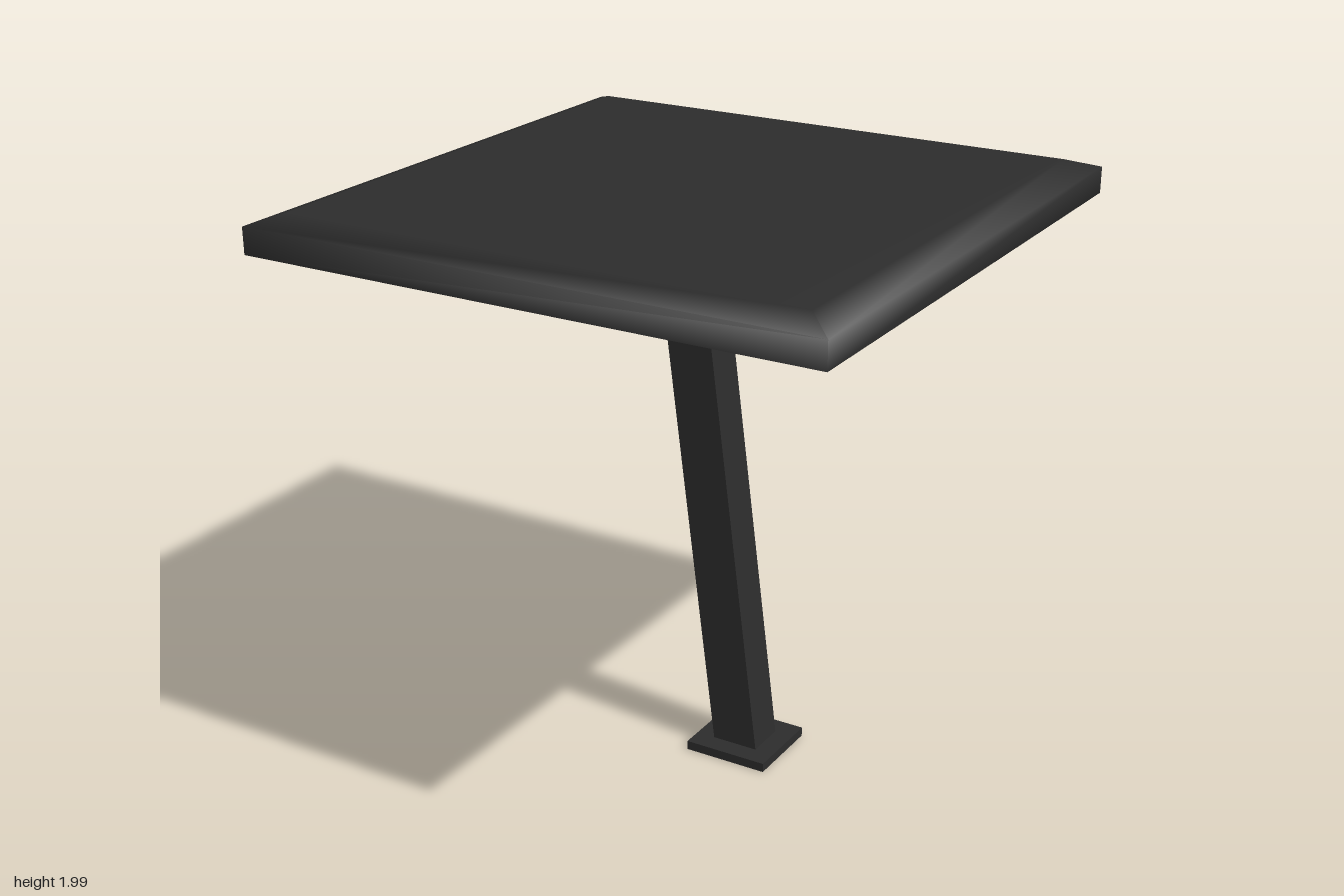
import * as THREE from 'three';

const darkMetal = new THREE.MeshStandardMaterial({ color: 0x2d2d2d });
darkMetal.name = 'darkMetal';

function addMesh(group, geometry, name) {
  const mesh = new THREE.Mesh(geometry, darkMetal);
  mesh.name = name;
  group.add(mesh);
  return mesh;
}

// Extrude an x-y outline along z, centred on z = 0
function extrudeOutline(points, depth) {
  const shape = new THREE.Shape(points.map(([x, y]) => new THREE.Vector2(x, y)));
  return new THREE.ExtrudeGeometry(shape, { depth, bevelEnabled: false })
    .translate(0, 0, -depth / 2);
}

// Square rings joined by smooth walls, closed at the top
function canopyShell(rings) {
  const positions = [], index = [];
  for (const [r, y] of rings) positions.push(-r, y, r, r, y, r, r, y, -r, -r, y, -r);
  for (let k = 0; k < rings.length - 1; k++) {
    for (let i = 0; i < 4; i++) {
      const a = k * 4 + i, b = k * 4 + (i + 1) % 4;
      index.push(a, b, b + 4, a, b + 4, a + 4);
    }
  }
  const t = (rings.length - 1) * 4;
  index.push(t, t + 1, t + 2, t, t + 2, t + 3);
  const geometry = new THREE.BufferGeometry();
  geometry.setAttribute('position', new THREE.Float32BufferAttribute(positions, 3));
  geometry.setIndex(index);
  geometry.computeVertexNormals();
  return geometry;
}

export function createModel() {
  const model = new THREE.Group();
  model.name = 'parasol';
  const ceiling = 1.86, beamBottom = 1.725;

  // Canopy: softly shaded bevelled top and a flat underside
  addMesh(model, canopyShell([[1, ceiling], [1, 1.95], [0.9, 1.985]]), 'canopyTop');
  addMesh(model, new THREE.PlaneGeometry(2, 2).rotateX(Math.PI / 2).translate(0, ceiling, 0),
    'canopyUnderside');

  // Crossed support beams with tapering ends
  const beamOutline = (end) => [[-1, ceiling], [-end, beamBottom], [end, beamBottom], [1, ceiling]];
  addMesh(model, extrudeOutline(beamOutline(0.565), 0.14), 'sideToSideBeam');
  addMesh(model, extrudeOutline(beamOutline(0.51), 0.165).rotateY(Math.PI / 2), 'frontToBackBeam');

  // Leaning post
  addMesh(model, extrudeOutline(
    [[0.13, 0.03], [0.295, 0.03], [0.08, beamBottom], [-0.085, beamBottom]], 0.145), 'post');

  // Foot plate
  addMesh(model, new THREE.BoxGeometry(0.3, 0.032, 0.285), 'footPlate').position.set(0.213, 0.016, 0);

  return model;
}
